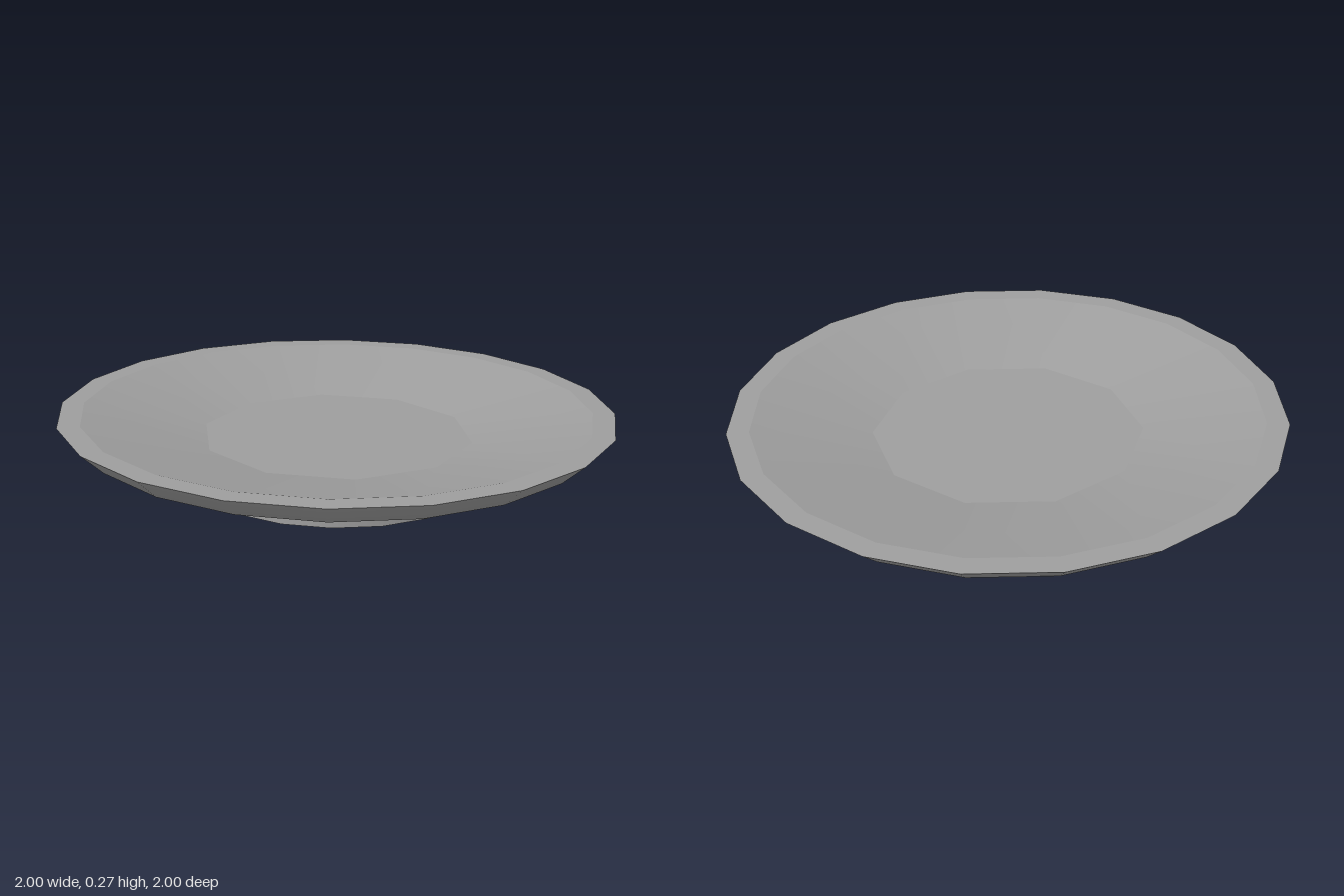
import * as THREE from 'three';

const SIDES = 20;
const FLOOR_SIDES = 10;
const DEG = Math.PI / 180;
const RIM_Y = 0.247, INNER_R = 0.92;
const FLOOR_Y = 0.151, FLOOR_R = 0.492;
const FOOT_R = 0.543, FOOT_TOP = 0.043;

export function createModel() {
  const material = new THREE.MeshStandardMaterial({ color: 0x9e9e9e });
  const plate = new THREE.Group();
  plate.name = 'plate';

  const add = (name, geometry) => {
    const mesh = new THREE.Mesh(geometry, material);
    mesh.name = name;
    plate.add(mesh);
    return mesh;
  };
  const turn = (name, profile) => add(name, new THREE.LatheGeometry(
    profile.map(([r, y]) => new THREE.Vector2(r, y)), SIDES, 3.6 * DEG));

  // Foot: flat base and short upright wall
  turn('footBase', [[0, 0], [FOOT_R, 0]]);
  turn('footWall', [[FOOT_R, 0], [FOOT_R, FOOT_TOP]]);

  // Flared underside, steeper towards the lip
  const underside = turn('underside', [[FOOT_R, FOOT_TOP], [0.92, 0.173], [1, RIM_Y]]);
  softenBend(underside.geometry);

  // Flat rim
  turn('rim', [[1, RIM_Y], [INNER_R, RIM_Y]]);

  // Sloping inner wall, from the rim's 20 corners down to the floor's 10
  add('innerWall', innerWall());

  // Ten-sided floor
  const floor = new THREE.CircleGeometry(FLOOR_R, FLOOR_SIDES, -5.4 * DEG);
  floor.rotateX(-Math.PI / 2);
  add('floor', floor).position.y = FLOOR_Y;

  // The plate leans very slightly to one side
  plate.rotation.z = -0.0145;
  plate.position.set(-0.003, 0.008, 0);

  const model = new THREE.Group();
  model.name = 'model';
  model.add(plate);
  return model;
}

// Shade the bend (middle of three rings) halfway between its two slopes
function softenBend(geometry) {
  const { position, normal } = geometry.attributes;
  for (let k = 1; k < position.count; k += 3) {
    const x = position.getX(k), z = position.getZ(k), r = Math.hypot(x, z);
    normal.setXYZ(k, 0.52 * x / r, -0.854, 0.52 * z / r);
  }
}

function innerWall() {
  const positions = [], index = [];
  const ring = (count, radius, y, start) => {
    for (let i = 0; i < count; i++) {
      const a = start * DEG + (i / count) * Math.PI * 2;
      positions.push(radius * Math.cos(a), y, radius * Math.sin(a));
    }
  };
  ring(SIDES, INNER_R, RIM_Y, -3.6);
  ring(FLOOR_SIDES, FLOOR_R, FLOOR_Y, 5.4);

  const outer = (i) => i % SIDES;
  const inner = (j) => SIDES + (j % FLOOR_SIDES);
  for (let j = 0; j < FLOOR_SIDES; j++) {
    const o = 2 * j;
    index.push(inner(j), outer(o + 1), outer(o));
    index.push(inner(j), outer(o + 2), outer(o + 1));
    index.push(inner(j), inner(j + 1), outer(o + 2));
  }
  const geometry = new THREE.BufferGeometry();
  geometry.setAttribute('position', new THREE.Float32BufferAttribute(positions, 3));
  geometry.setIndex(index);
  geometry.computeVertexNormals();
  return geometry;
}
